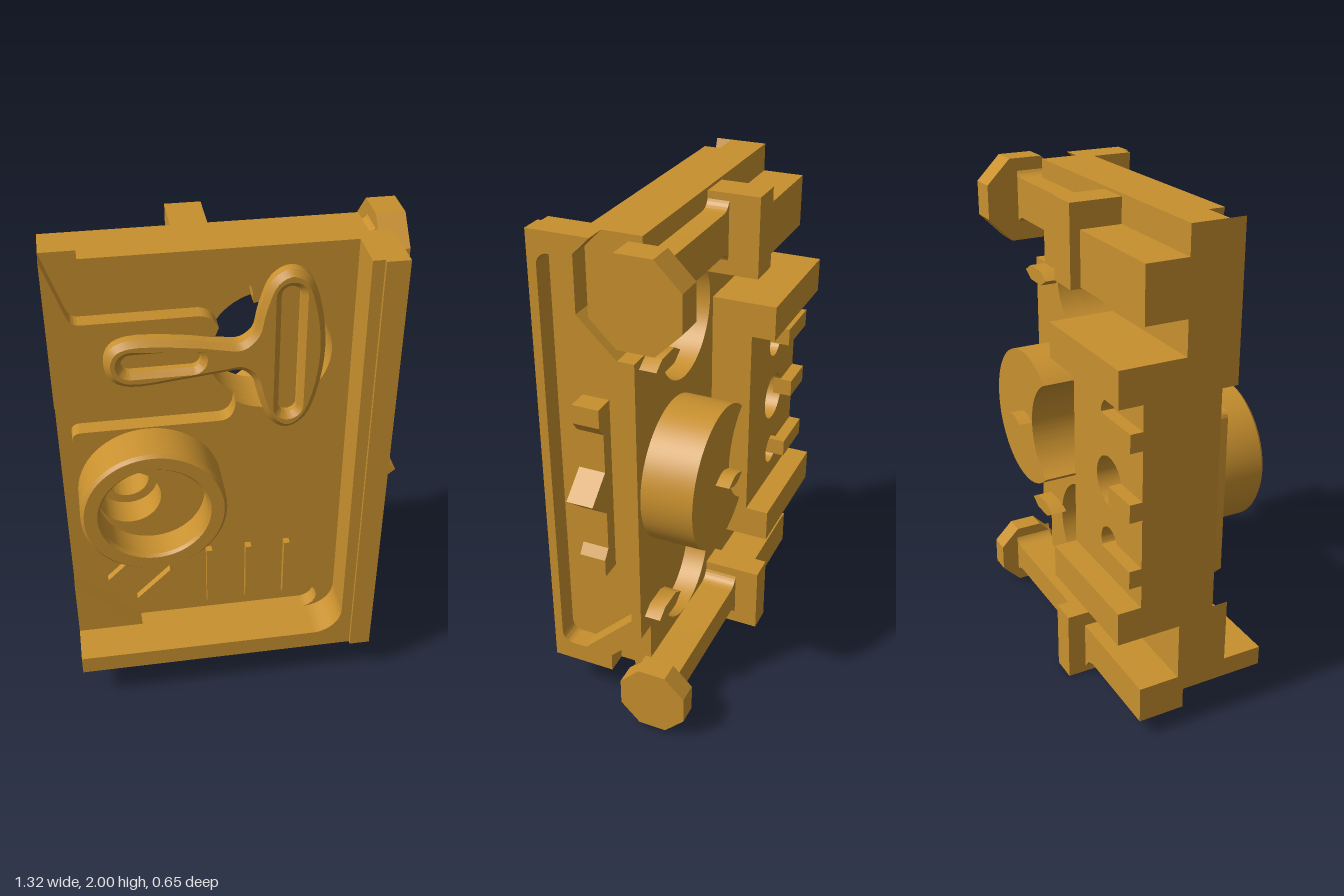
import * as THREE from 'three';
import { toCreasedNormals } from 'three/addons/utils/BufferGeometryUtils.js';

export function createModel() {
  const root = new THREE.Group();
  const gold = new THREE.MeshStandardMaterial({ color: 0xc8902e });
  gold.name = 'gold';

  const add = (name, geo) => {
    const mesh = new THREE.Mesh(toCreasedNormals(geo, 0.55), gold);
    mesh.name = name;
    root.add(mesh);
    return mesh;
  };
  const poly = (pts) => new THREE.Shape(pts.map(([x, y]) => new THREE.Vector2(x, y)));
  const circle = (x, y, r) => new THREE.Path().absarc(x, y, r, 0, Math.PI * 2, true);
  const rect = (x0, x1, y0, y1) => poly([[x0, y0], [x1, y0], [x1, y1], [x0, y1]]);
  const slot = (x0, x1, y0, y1) => { // rounded slot
    const r = Math.min(x1 - x0, y1 - y0) / 2, p = new THREE.Path();
    if (x1 - x0 > y1 - y0) {
      p.absarc(x1 - r, y0 + r, r, -Math.PI / 2, Math.PI / 2);
      p.absarc(x0 + r, y0 + r, r, Math.PI / 2, Math.PI * 1.5);
    } else {
      p.absarc(x0 + r, y1 - r, r, 0, Math.PI);
      p.absarc(x0 + r, y0 + r, r, Math.PI, Math.PI * 2);
    }
    p.closePath();
    return p;
  };
  // plate in the xy plane between two depths
  const plate = (name, shape, z0, z1, holes = []) => {
    shape.holes.push(...holes);
    const g = new THREE.ExtrudeGeometry(shape, { depth: z1 - z0, bevelEnabled: false, curveSegments: 32 });
    return add(name, g.translate(0, 0, z0));
  };
  const box = (name, x0, x1, y0, y1, z0, z1) =>
    add(name, new THREE.BoxGeometry(x1 - x0, y1 - y0, z1 - z0)
      .translate((x0 + x1) / 2, (y0 + y1) / 2, (z0 + z1) / 2));

  const boreX = -0.41, wellX = 0.14, wellY = 1.56, wellR = 0.23;
  const bore = (r) => circle(boreX, 1, r);
  const upperWell = () => circle(wellX, wellY, wellR);

  // core slab: the upper well goes through, the lower one is blind
  plate('coreBack', rect(-0.66, 0.49, 0.165, 2), -0.065, 0.03,
    [bore(0.085), upperWell(), circle(wellX, 2 - wellY, wellR)]);
  plate('coreFront', rect(-0.66, 0.49, 0.165, 2), 0.03, 0.08, [bore(0.085), upperWell()]);

  // front panel with grooves left between its pieces
  const panel = new THREE.Shape();
  panel.moveTo(0.445, 2);
  panel.lineTo(-0.53, 2);
  panel.lineTo(-0.505, 1.91);
  panel.quadraticCurveTo(-0.49, 1.87, -0.45, 1.87);
  panel.lineTo(0.03, 1.87);
  panel.quadraticCurveTo(0.075, 1.86, 0.07, 1.81);
  panel.absarc(wellX, wellY, wellR, 1.86, -2.16, true);
  panel.quadraticCurveTo(0.01, 1.285, -0.05, 1.285);
  panel.lineTo(-0.57, 1.285);
  panel.quadraticCurveTo(-0.607, 1.285, -0.607, 1.25);
  panel.lineTo(-0.607, 0.63);
  panel.lineTo(-0.37, 0.39);
  panel.quadraticCurveTo(-0.35, 0.37, -0.32, 0.37);
  panel.lineTo(0.31, 0.37);
  panel.absarc(0.31, 0.3075, 0.0625, Math.PI / 2, -Math.PI / 2, true);
  panel.lineTo(0.445, 0.245);
  plate('frontPanel', panel, 0.08, 0.145, [bore(0.125)]);

  const tongue = new THREE.Shape();
  tongue.moveTo(-0.66, 2);
  tongue.lineTo(-0.585, 1.78);
  tongue.quadraticCurveTo(-0.57, 1.745, -0.54, 1.745);
  tongue.lineTo(-0.12, 1.745);
  tongue.quadraticCurveTo(-0.07, 1.74, -0.05, 1.69);
  tongue.lineTo(-0.09, 1.6);
  tongue.lineTo(-0.09, 1.5);
  tongue.quadraticCurveTo(-0.12, 1.41, -0.18, 1.405);
  tongue.lineTo(-0.66, 1.405);
  plate('panelTongue', tongue, 0.08, 0.145);
  plate('cornerGusset', poly([[-0.66, 0.51], [-0.66, 0.245], [-0.39, 0.245]]), 0.08, 0.145);

  // raised frame along the right side and bottom
  const frame = new THREE.Shape();
  frame.moveTo(0.49, 2);
  frame.lineTo(0.445, 2);
  frame.lineTo(0.445, 0.365);
  frame.absarc(0.325, 0.365, 0.12, 0, -Math.PI / 2, true);
  frame.lineTo(-0.66, 0.245);
  frame.lineTo(-0.66, 0.165);
  frame.lineTo(0.49, 0.165);
  plate('frontFrame', frame, 0.08, 0.31);

  // side flange, drawn as (-z, y) and turned to face +x
  const flange = poly([[-0.325, 0.165], [-0.07, 0.165], [-0.07, 0.24], [0.065, 0.375], [0.065, 1.575],
    [0, 1.575], [-0.15, 1.72], [-0.15, 1.935], [-0.085, 2], [-0.325, 2]]);
  const recess = new THREE.Path();
  recess.moveTo(-0.245, 0.245);
  recess.lineTo(-0.185, 0.245);
  recess.lineTo(0.025, 0.45);
  recess.lineTo(0.025, 1.46);
  recess.lineTo(-0.197, 1.69);
  recess.lineTo(-0.197, 1.875);
  recess.absarc(-0.2435, 1.875, 0.0465, 0, Math.PI);
  recess.lineTo(-0.29, 0.29);
  recess.absarc(-0.245, 0.29, 0.045, Math.PI, Math.PI * 1.5);
  flange.holes.push(recess);
  add('sideFlange', new THREE.ExtrudeGeometry(flange, { depth: 0.086, bevelEnabled: false, curveSegments: 16 })
    .rotateY(Math.PI / 2).translate(0.489, 0, 0));
  plate('sideBracket', poly([[0.485, 0.635], [0.575, 0.635], [0.575, 0.71], [0.545, 0.75], [0.545, 0.91],
    [0.652, 1], [0.545, 1.09], [0.545, 1.25], [0.575, 1.29], [0.575, 1.365], [0.485, 1.365]]), 0.08, 0.187);

  // round boss on the front
  const ring = [[0.28, 0.08], [0.28, 0.307], [0.268, 0.32], [0.217, 0.32], [0.207, 0.308], [0.207, 0.19]];
  add('bossRing', new THREE.LatheGeometry(ring.map(([r, z]) => new THREE.Vector2(r, z)), 64)
    .rotateX(Math.PI / 2).translate(-0.325, 1, 0));
  const floor = new THREE.Shape().absarc(-0.325, 1, 0.24, 0, Math.PI * 2);
  plate('bossFloor', floor, 0.08, 0.2, [bore(0.122)]);

  // T shaped handle with two blind slots
  const outline = [[-0.38, 1.672], [-0.2, 1.662], [-0.05, 1.635], [0.03, 1.63], [0.085, 1.68], [0.11, 1.78],
    [0.15, 1.88], [0.2, 1.907], [0.25, 1.88], [0.29, 1.77], [0.31, 1.6], [0.29, 1.43], [0.25, 1.32],
    [0.2, 1.287], [0.15, 1.32], [0.11, 1.42], [0.085, 1.51], [0.03, 1.558], [-0.05, 1.553], [-0.2, 1.537],
    [-0.38, 1.525], [-0.43, 1.55], [-0.448, 1.6], [-0.43, 1.65]];
  const curve = new THREE.CatmullRomCurve3(outline.map(([x, y]) => new THREE.Vector3(x, y, 0)), true);
  const handle = () => poly(curve.getPoints(96).slice(0, -1).map((p) => [p.x, p.y]));
  const grip = handle();
  grip.holes.push(slot(-0.432, -0.1, 1.543, 1.657), slot(0.143, 0.257, 1.31, 1.885));
  add('handle', new THREE.ExtrudeGeometry(grip, { depth: 0.035, bevelEnabled: true, bevelThickness: 0.02,
    bevelSize: 0.022, bevelSegments: 1, curveSegments: 16 }).translate(0, 0, 0.155));
  plate('handleBase', handle(), 0.11, 0.165);

  // ribs on the front panel
  const rib = (x, y, length, angle) => {
    const m = add('rib', new THREE.BoxGeometry(0.024, length, 0.04));
    m.position.set(x, y, 0.155);
    m.rotation.z = angle;
  };
  for (const x of [-0.098, 0.065, 0.226]) rib(x, 0.512, 0.285, 0);
  rib(-0.465, 0.587, 0.13, -Math.PI / 4);
  rib(-0.325, 0.493, 0.2, -Math.PI / 4);

  // rear block with flanges, holes and ridges
  plate('rearBlock', rect(-0.66, -0.12, 0.465, 1.545), -0.23, -0.06,
    [bore(0.1), circle(boreX, 1.26, 0.065), circle(boreX, 0.74, 0.065)]);
  box('rearFlangeTop', -0.66, -0.12, 1.405, 1.545, -0.325, -0.22);
  box('rearFlangeBottom', -0.66, -0.12, 0.465, 0.6, -0.325, -0.22);
  for (const y of [1.27, 1, 0.73]) box('rearRidge', -0.66, y === 1 ? -0.5 : -0.44, y - 0.036, y + 0.036, -0.28, -0.2);

  // rear drum with a round bite, and pointed fins
  const drum = new THREE.Shape();
  const a = 2.324, b = 1.082;
  drum.absarc(0.27, 1, 0.285, -a, a, false);
  drum.absarc(-0.0355, 1, 0.2355, b, -b, true);
  plate('rearDrum', drum, -0.27, -0.06);
  const fin = (x0, x1, y, h, z0, z1) => plate('fin',
    poly([[x0, y], [x0 + 0.05, y - h], [x1 - 0.05, y - h], [x1, y], [x1 - 0.05, y + h], [x0 + 0.05, y + h]]), z0, z1);
  fin(0.2, 0.335, 1, 0.02, -0.325, -0.26);
  fin(0.34, 0.54, 1.54, 0.03, -0.13, -0.06);
  fin(0.34, 0.54, 0.46, 0.03, -0.13, -0.06);

  // rear rails: left stub, collar, filleted right bar, octagonal knob
  const bar = (name, x0, x1, y0, y1, z0, z1, f) => {
    const s = new THREE.Shape();
    s.moveTo(x0, y0 - f);
    s.quadraticCurveTo(x0 + 0.01, y0, x0 + f + 0.01, y0);
    s.lineTo(x1 - f - 0.01, y0);
    s.quadraticCurveTo(x1 - 0.01, y0, x1, y0 - f);
    s.lineTo(x1, y1 + f);
    s.quadraticCurveTo(x1 - 0.01, y1, x1 - f - 0.01, y1);
    s.lineTo(x0 + f + 0.01, y1);
    s.quadraticCurveTo(x0 + 0.01, y1, x0, y1 + f);
    plate(name, s, z0, z1);
  };
  const knob = (name, x0, x1, y, z, half) => add(name,
    new THREE.CylinderGeometry(half / Math.cos(Math.PI / 8), half / Math.cos(Math.PI / 8), x1 - x0, 8)
      .rotateY(Math.PI / 8).rotateZ(Math.PI / 2).translate((x0 + x1) / 2, y, z));

  box('upperStub', -0.66, -0.18, 1.68, 1.89, -0.23, -0.05);
  box('upperCollar', -0.19, -0.055, 1.675, 1.988, -0.27, -0.05);
  bar('upperBar', -0.06, 0.56, 1.765, 1.925, -0.15, -0.03, 0.05);
  knob('upperKnob', 0.55, 0.66, 1.8325, -0.1125, 0.1675);

  plate('lowerStub', poly([[-0.66, 0.08], [-0.26, 0.08], [-0.22, 0.065], [-0.195, 0.03], [-0.18, 0.03],
    [-0.18, 0.23], [-0.66, 0.23]]), -0.23, -0.04);
  box('lowerCollar', -0.19, -0.085, 0, 0.29, -0.305, -0.015);
  bar('lowerBar', -0.09, 0.585, 0.095, 0.21, -0.205, -0.04, 0.06);
  knob('lowerKnob', 0.575, 0.658, 0.15, -0.145, 0.135);

  return root;
}
